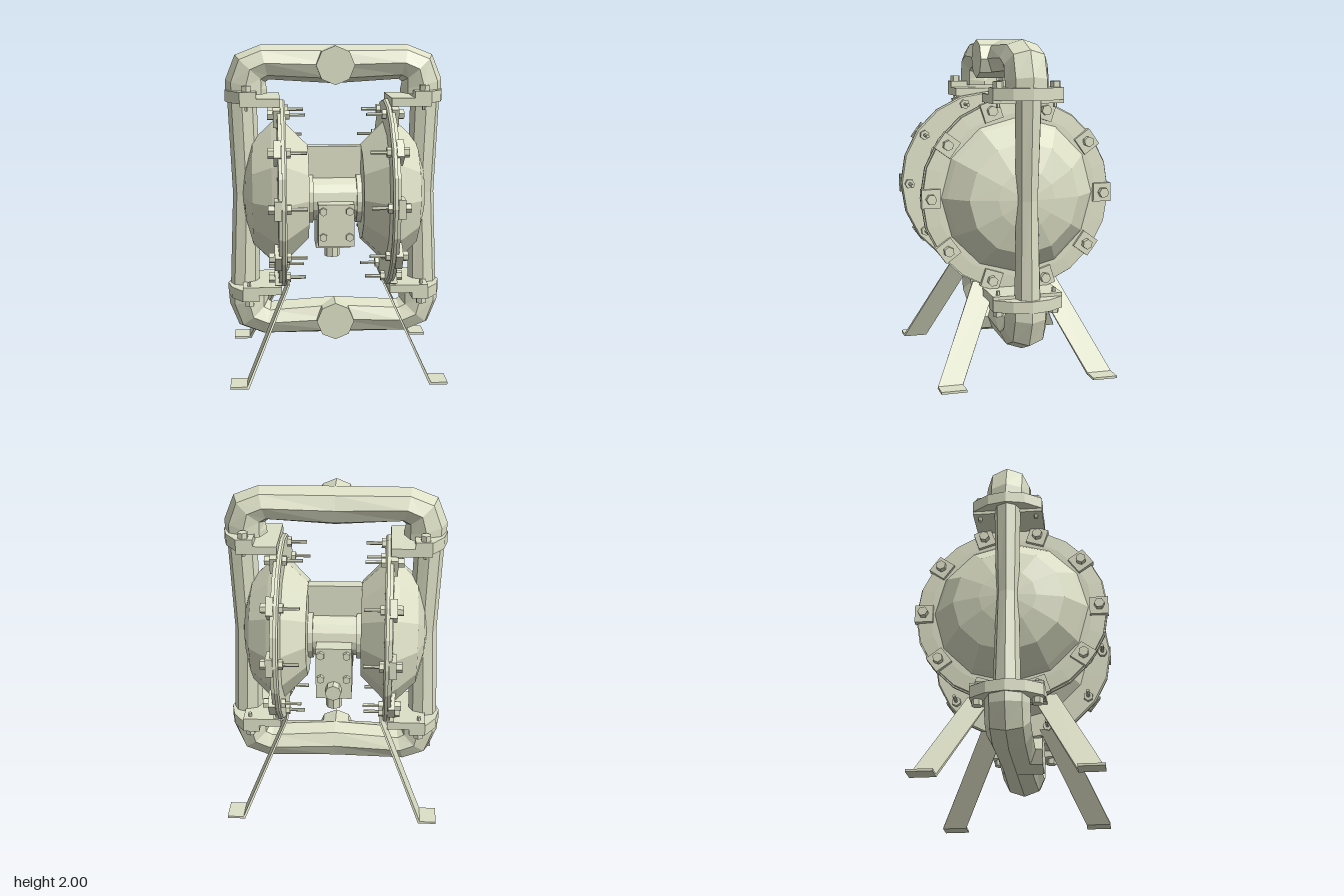
import * as THREE from 'three';

const MID = 1.085; // height of the pump axis
const mat = new THREE.MeshStandardMaterial({ color: 0xdde0c6, flatShading: true, side: THREE.DoubleSide });

function add(parent, name, geo, x = 0, y = 0, z = 0) {
  const m = new THREE.Mesh(geo, mat);
  m.name = name;
  m.position.set(x, y, z);
  parent.add(m);
  return m;
}

// Box given by its limits
function box(parent, name, x0, x1, y0, y1, z0, z1) {
  return add(parent, name, new THREE.BoxGeometry(x1 - x0, y1 - y0, z1 - z0), (x0 + x1) / 2, (y0 + y1) / 2, (z0 + z1) / 2);
}

// Cylinder centred on the origin along an axis
function cyl(r, h, sides, axis = 'y') {
  const g = new THREE.CylinderGeometry(r, r, h, sides);
  if (axis === 'x') g.rotateZ(-Math.PI / 2);
  if (axis === 'z') g.rotateX(Math.PI / 2);
  return g;
}

// Solid of revolution about x from [x, radius] pairs
function latheX(profile, sides) {
  const g = new THREE.LatheGeometry(profile.map(([x, r]) => new THREE.Vector2(r, x)), sides);
  return g.rotateZ(-Math.PI / 2);
}

// Eight-sided pipe through sections [outerX, outerY, innerX, innerY, halfDepth]
function pipe(sections) {
  const n = 8, pos = [], idx = [];
  sections.forEach(([ox, oy, ix, iy, rz], i) => {
    for (let j = 0; j < n; j++) {
      const a = (j / n) * Math.PI * 2, c = Math.cos(a) / 2;
      pos.push((ox + ix) / 2 + (ox - ix) * c, (oy + iy) / 2 + (oy - iy) * c, rz * Math.sin(a));
      if (i === sections.length - 1) continue;
      const p = i * n + j, q = i * n + ((j + 1) % n);
      idx.push(p, q, q + n, p, q + n, p + n);
    }
  });
  const g = new THREE.BufferGeometry();
  g.setAttribute('position', new THREE.Float32BufferAttribute(pos, 3));
  g.setIndex(idx);
  g.computeVertexNormals();
  return g;
}

// Outline in x and y, extruded along z
function slab(points, depth) {
  const shape = new THREE.Shape(points.map(([x, y]) => new THREE.Vector2(x, y)));
  return new THREE.ExtrudeGeometry(shape, { depth, bevelEnabled: false });
}

// Upper manifold, with heights relative to the pump axis
function manifold() {
  const g = new THREE.Group();
  const half = [
    [0, 0.915, 0, 0.68, 0.117],
    [0.45, 0.915, 0.40, 0.705, 0.13],
    [0.605, 0.855, 0.42, 0.69, 0.13],
    [0.665, 0.705, 0.41, 0.645, 0.13],
    [0.665, 0.62, 0.41, 0.62, 0.13],
  ];
  const left = half.slice(1).reverse().map(([a, b, c, d, e]) => [-a, b, -c, d, e]);
  add(g, 'manifoldPipe', pipe([...left, ...half]));
  for (const s of [1, -1]) {
    const outline = [[0.475, -0.21], [0.575, -0.21], [0.645, -0.11], [0.67, 0], [0.645, 0.11], [0.575, 0.21], [0.475, 0.21]];
    const side = new THREE.Group();
    side.name = 'manifoldFlange';
    side.rotation.y = s > 0 ? 0 : Math.PI;
    g.add(side);
    add(side, 'flangePlate', slab(outline, 0.07).rotateX(-Math.PI / 2), 0, 0.575);
    box(side, 'flangeTongue', 0.335, 0.575, 0.555, 0.605, -0.21, 0.21);
    for (const z of [-0.17, 0.17]) {
      add(side, 'flangeBolt', cyl(0.032, 0.04, 6), 0.535, 0.66, z);
      add(side, 'flangeBoltShaft', cyl(0.012, 0.14, 6), 0.535, 0.6, z);
    }
  }
  return g;
}

// One pumping chamber on the +x side, centred on the pump axis
function chamber() {
  const g = new THREE.Group();
  add(g, 'innerHousing', latheX([[0.165, 0], [0.165, 0.30], [0.31, 0.445]], 12));
  add(g, 'outerDome', latheX([[0.35, 0.47], [0.39, 0.44], [0.505, 0.33], [0.55, 0.17], [0.575, 0]], 12));
  add(g, 'innerRim', latheX([[0.305, 0.40], [0.305, 0.575], [0.315, 0.583], [0.333, 0.583], [0.333, 0.40]], 20));
  add(g, 'outerRim', latheX([[0.333, 0.40], [0.333, 0.575], [0.352, 0.575], [0.358, 0.49], [0.358, 0.40]], 20));

  // Ten clamping bolts, each on a square lug
  for (let i = 0; i < 10; i++) {
    const b = new THREE.Group();
    b.name = 'clampBolt';
    b.rotation.x = (i / 10) * Math.PI * 2;
    g.add(b);
    box(b, 'lug', 0.335, 0.378, -0.056, 0.056, 0.472, 0.583);
    add(b, 'boltHead', cyl(0.031, 0.036, 6, 'x'), 0.395, 0, 0.53);
    add(b, 'boltShaft', cyl(0.011, 0.2, 6, 'x'), 0.285, 0, 0.53);
    add(b, 'nut', cyl(0.031, 0.026, 6, 'x'), 0.292, 0, 0.53);
  }

  // Vertical riser with a slight waist
  add(g, 'riserPipe', pipe([
    [0.655, 0.6, 0.475, 0.6, 0.08],
    [0.63, 0, 0.46, 0, 0.066],
    [0.655, -0.6, 0.475, -0.6, 0.08],
  ]));

  // Pair of bent strip legs, sheared outwards along z
  for (const s of [1, -1]) {
    const geo = slab([[0.285, 0.56], [0.297, 0.56], [0.55, 0.014], [0.65, 0.014], [0.65, 0], [0.54, 0]], 0.15);
    const p = geo.attributes.position;
    for (let i = 0; i < p.count; i++) {
      const z = p.getZ(i) + 0.385 - 0.5 * Math.max(0, p.getY(i) - 0.014);
      p.setZ(i, s > 0 ? z : z - 0.92 + 1.0 * Math.max(0, p.getY(i) - 0.014));
    }
    geo.computeVertexNormals();
    add(g, 'leg', geo, 0, -MID, 0);
  }
  return g;
}

// Air valve and centre section between the chambers
function centre() {
  const g = new THREE.Group();
  g.name = 'centreSection';
  add(g, 'centreBody', cyl(0.14, 0.3, 16, 'x'), 0, 1.05, 0);
  box(g, 'centreWeb', -0.168, 0.168, 1.05, 1.38, -0.04, 0.04);
  for (const s of [1, -1]) {
    add(g, 'centreCollar', cyl(0.16, 0.032, 16, 'x'), s * 0.15, 1.05, 0);
  }
  box(g, 'frontValveBlock', -0.11, 0.11, 0.79, 1.05, 0.05, 0.24);
  box(g, 'rearValveBlock', -0.11, 0.11, 0.71, 1.05, -0.24, -0.05);
  for (const x of [-0.08, 0.08]) {
    for (const y of [0.85, 1.01]) {
      add(g, 'valveBolt', cyl(0.025, 0.03, 6, 'z'), x, y, 0.25);
      add(g, 'valveBolt', cyl(0.025, 0.03, 6, 'z'), x, y, -0.25);
    }
  }
  add(g, 'exhaustPort', cyl(0.05, 0.07, 8, 'z'), 0, 0.78, -0.27);
  add(g, 'airInlet', cyl(0.05, 0.09, 8), 0, 0.675, -0.18);
  return g;
}

export function createModel() {
  const model = new THREE.Group();
  model.name = 'diaphragmPump';

  // Manifolds, the lower one upside down, both with a forward port
  for (const s of [1, -1]) {
    const m = manifold();
    m.name = s > 0 ? 'upperManifold' : 'lowerManifold';
    m.position.y = MID;
    if (s < 0) m.rotation.x = Math.PI;
    model.add(m);
    add(model, 'manifoldPort', cyl(0.117, 0.16, 8, 'z'), 0, MID + s * 0.798, 0.08);
  }

  // Chambers, with the right one turned about
  for (const s of [1, -1]) {
    const c = chamber();
    c.name = s > 0 ? 'leftChamber' : 'rightChamber';
    c.position.y = MID;
    if (s < 0) c.rotation.y = Math.PI;
    model.add(c);
  }

  model.add(centre());
  return model;
}
